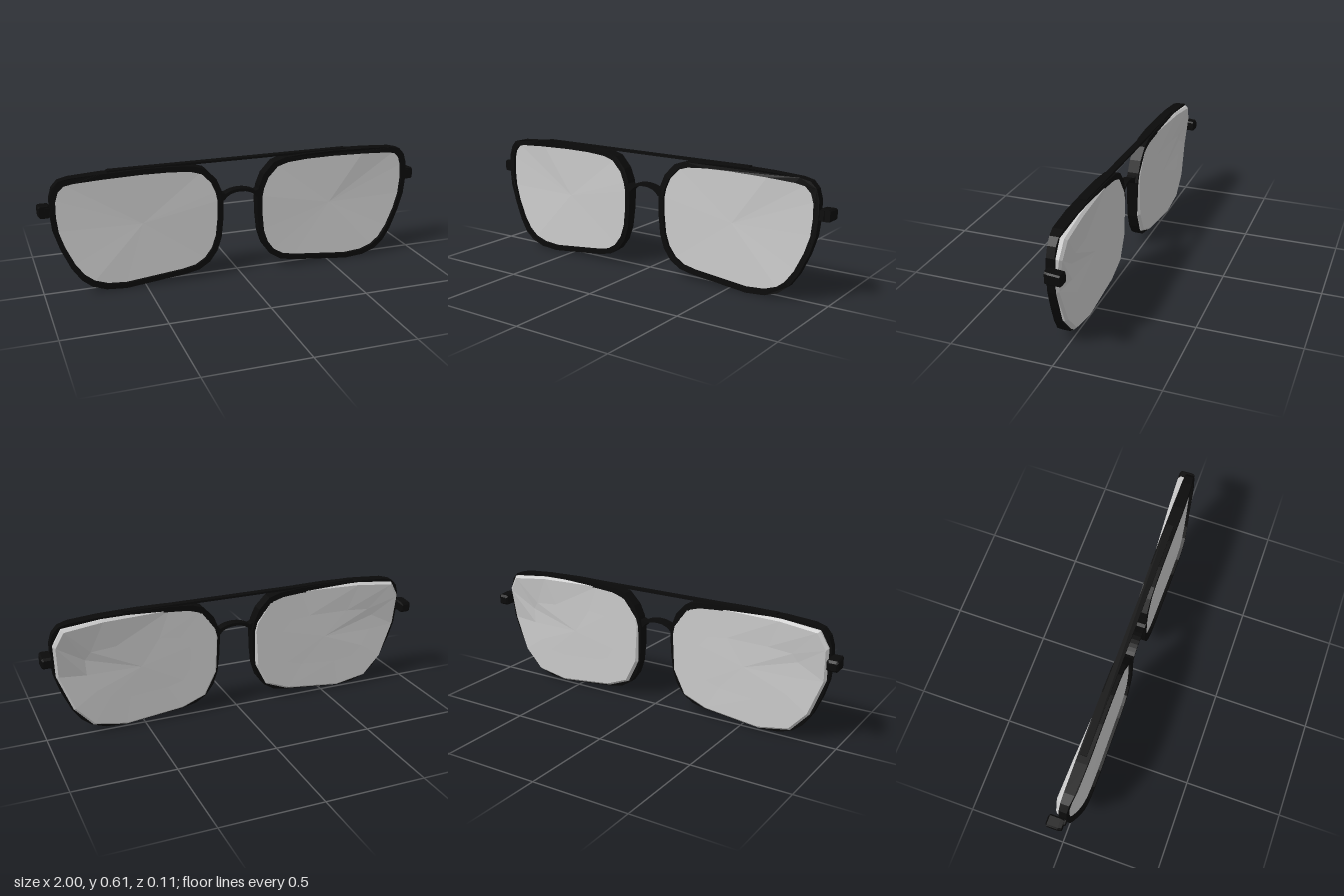
import * as THREE from 'three';

const black = new THREE.MeshStandardMaterial({ color: 0x0a0a0a, flatShading: true });
const grey = new THREE.MeshStandardMaterial({ color: 0xcccccc, flatShading: true });
const smooth = THREE.MathUtils.smoothstep;
const CX = 0.52, CY = 0.305;

// Outer rim outline of the +x side, counter-clockwise from the nose
const OUTLINE = [
  [0.09, 0.41], [0.092, 0.31], [0.102, 0.21], [0.125, 0.14], [0.165, 0.085], [0.22, 0.05], [0.29, 0.035],
  [0.45, 0.018], [0.6, 0.002], [0.7, 0.01], [0.77, 0.035], [0.82, 0.075], [0.865, 0.14], [0.91, 0.24],
  [0.938, 0.33], [0.947, 0.42], [0.945, 0.5], [0.93, 0.55], [0.9, 0.582], [0.85, 0.594], [0.7, 0.603],
  [0.5, 0.608], [0.35, 0.606], [0.24, 0.597], [0.18, 0.578], [0.125, 0.52], [0.1, 0.46],
];

// Outline inset by a margin and mirrored for side -1, kept counter-clockwise
function outline(side, inset, step = 1) {
  const kx = 1 - inset / 0.43, ky = 1 - inset / 0.303;
  const pts = OUTLINE.filter((_, i) => i % step === 0).map(([x, y]) =>
    new THREE.Vector2(side * (CX + (x - CX) * kx), CY + (y - CY) * ky));
  return side < 0 ? pts.reverse() : pts;
}

// Solid through equal rings of points, ordered from back to front
function loft(rings) {
  const n = rings[0].length, pos = [], idx = [];
  rings.forEach(r => r.forEach(p => pos.push(p.x, p.y, p.z)));
  for (let i = 0; i < rings.length - 1; i++)
    for (let j = 0; j < n; j++) {
      const k = (j + 1) % n, a = i * n, b = a + n;
      idx.push(a + j, a + k, b + k, a + j, b + k, b + j);
    }
  [rings[0], rings[rings.length - 1]].forEach((r, end) => {
    const c = r.reduce((s, p) => s.add(p), new THREE.Vector3()).divideScalar(n);
    const ci = pos.length / 3, o = end ? (rings.length - 1) * n : 0;
    pos.push(c.x, c.y, c.z);
    for (let j = 0; j < n; j++) {
      const k = (j + 1) % n;
      end ? idx.push(ci, o + j, o + k) : idx.push(ci, o + k, o + j);
    }
  });
  const g = new THREE.BufferGeometry();
  g.setAttribute('position', new THREE.Float32BufferAttribute(pos, 3));
  g.setIndex(idx);
  const flat = g.toNonIndexed();
  flat.computeVertexNormals();
  return flat;
}

// Front and back surfaces of the frame, sweeping back at the temples
const frontZ = (x, y) => 0.057 - 0.02 * smooth(Math.abs(x), 0.78, 0.95) - 0.007 * smooth(y, 0.4, 0.6);
const rimBackZ = (x, y) => 0.016 - 0.042 * y;

function rimGeometry(side) {
  const shape = new THREE.Shape(outline(side, 0));
  shape.holes.push(new THREE.Path(outline(side, 0.027)));
  const g = new THREE.ExtrudeGeometry(shape, { depth: 1, bevelEnabled: false });
  const p = g.attributes.position;
  for (let i = 0; i < p.count; i++) {
    const x = p.getX(i), y = p.getY(i);
    p.setZ(i, p.getZ(i) > 0.5 ? frontZ(x, y) : rimBackZ(x, y));
  }
  g.computeVertexNormals();
  return g;
}

// Thick lens: recessed front, bevelled back that swells at the upper outer corner
function lensGeometry(side) {
  const swell = side > 0 ? 0.034 : 0.026;
  const backZ = (x, y) => {
    const out = smooth(Math.abs(x), 0.35, 0.92);
    return -0.007 - swell * out * smooth(y, 0.36, 0.55) - 0.008 * out * (1 - smooth(y, 0.2, 0.4));
  };
  const ring = (inset, z) => outline(side, inset, 2).map(v => new THREE.Vector3(v.x, v.y, z(v.x, v.y)));
  return loft([
    ring(0.16, backZ),
    ring(0.02, backZ),
    ring(0.009, (x, y) => backZ(x, y) + 0.012),
    ring(0.012, (x, y) => frontZ(x, y) - 0.015),
  ]);
}

// Hinge lug with a chamfered rear end
function hingeGeometry(side) {
  const ring = (z, w, h, y) => {
    const c = 0.35;
    return [[1, -c], [1, c], [c, 1], [-c, 1], [-1, c], [-1, -c], [-c, -1], [c, -1]].map(([a, b]) => {
      const sx = Math.abs(a) === 1 ? a : a / c * 0.75, sy = Math.abs(b) === 1 ? b : b / c * 0.75;
      return new THREE.Vector3(side * 0.971 + sx * w, y + sy * h, z);
    });
  };
  return loft([
    ring(-0.058, 0.02, 0.017, 0.427),
    ring(-0.05, 0.029, 0.027, 0.429),
    ring(0.005, 0.029, 0.029, 0.432),
    ring(0.022, 0.024, 0.029, 0.432),
  ]);
}

// Arched nose bridge
function bridgeGeometry() {
  const s = new THREE.Shape();
  s.moveTo(-0.108, 0.40);
  s.lineTo(-0.085, 0.408);
  s.quadraticCurveTo(-0.06, 0.445, 0, 0.445);
  s.quadraticCurveTo(0.06, 0.445, 0.085, 0.408);
  s.lineTo(0.108, 0.40);
  s.lineTo(0.108, 0.45);
  s.lineTo(0.08, 0.44);
  s.quadraticCurveTo(0.045, 0.46, 0, 0.46);
  s.quadraticCurveTo(-0.045, 0.46, -0.08, 0.44);
  s.lineTo(-0.108, 0.45);
  const g = new THREE.ExtrudeGeometry(s, { depth: 0.045, bevelEnabled: false, curveSegments: 4 });
  return g.translate(0, 0, 0.012);
}

export function createModel() {
  const model = new THREE.Group();
  model.name = 'eyeglasses';
  const add = (name, geometry, material) => {
    const mesh = new THREE.Mesh(geometry, material);
    mesh.name = name;
    model.add(mesh);
    return mesh;
  };

  for (const side of [1, -1]) {
    const tag = side > 0 ? 'left' : 'right';
    add(tag + 'Rim', rimGeometry(side), black);
    add(tag + 'Lens', lensGeometry(side), grey);
    add(tag + 'Hinge', hingeGeometry(side), black);
    // Short block tying the hinge to the rim
    add(tag + 'HingeMount', new THREE.BoxGeometry(0.04, 0.045, 0.03), black)
      .position.set(side * 0.948, 0.432, 0.015);
  }

  add('bridge', bridgeGeometry(), black);
  add('browBar', new THREE.BoxGeometry(1.25, 0.01, 0.035), black).position.set(-0.04, 0.607, 0.015);
  return model;
}
